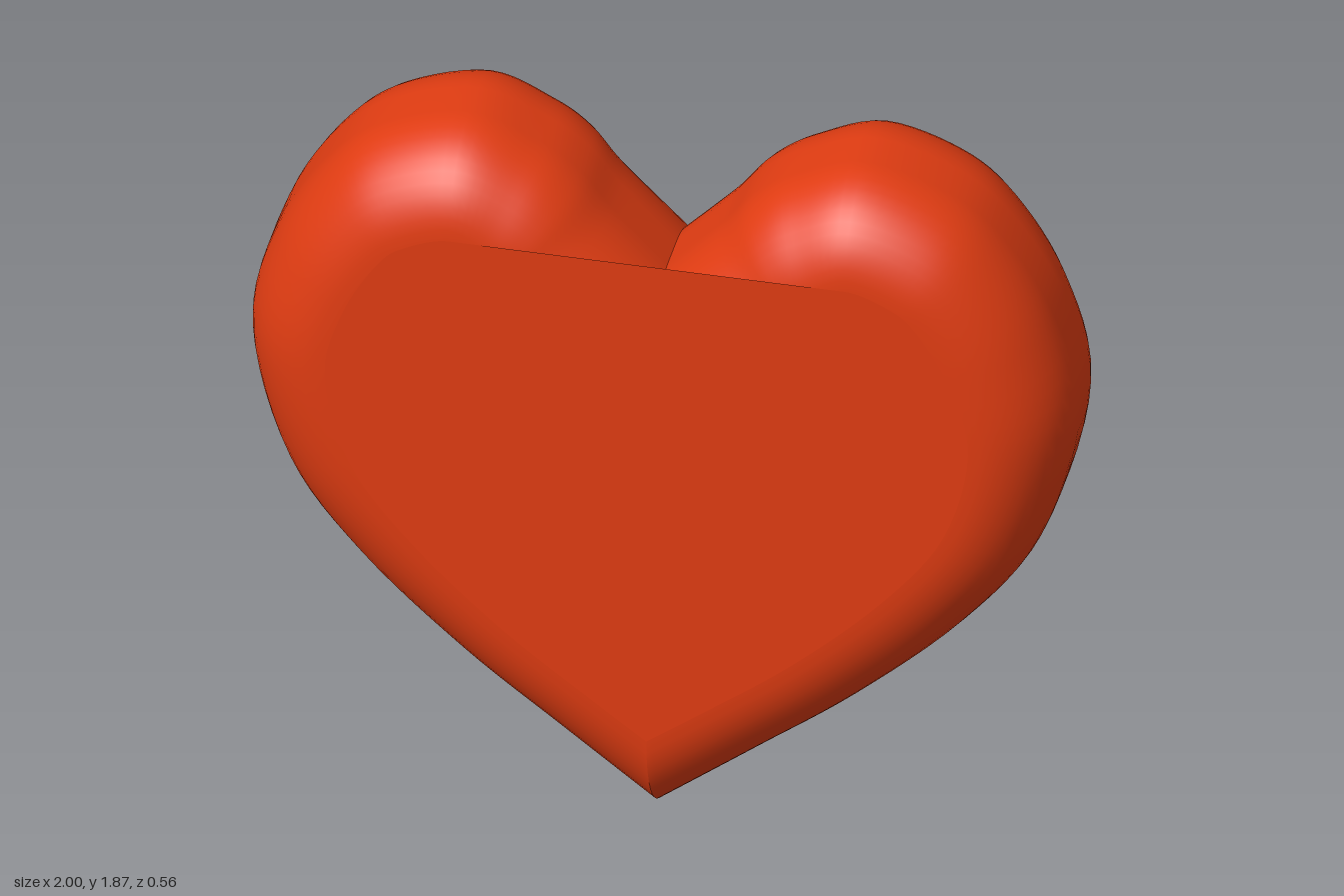
import * as THREE from 'three';

const HALF = 0.28;  // half thickness
const FLAT = 0.05;  // half width of the straight rim band
const N = 78, BEVEL = 12;

// Half outlines from the bottom tip round the lobe to the cleft:
// the widest contour and the edge of the flat faces.
const rim = [[0, 0], [0.25, 0.195], [0.49, 0.385], [0.74, 0.625], [0.915, 0.877], [1, 1.22], [0.94, 1.49],
  [0.82, 1.695], [0.685, 1.81], [0.48, 1.87], [0.31, 1.81], [0.21, 1.74], [0.13, 1.64], [0, 1.5]];
const face = [[0, 0.28], [0.12, 0.37], [0.35, 0.55], [0.57, 0.765], [0.72, 0.975], [0.78, 1.22], [0.735, 1.41],
  [0.65, 1.56], [0.585, 1.615], [0.48, 1.65], [0.405, 1.61], [0.36, 1.58], [0.3, 1.51], [0, 1.24]];

function smooth(pts) {
  const curve = new THREE.SplineCurve(pts.map(([x, y]) => new THREE.Vector2(x, y)));
  return curve.getPoints(N).map(p => new THREE.Vector2(Math.max(0, p.x), p.y));
}

// Rounded edge of one half; s is +1 or -1 for the side
function edgeHalf(outer, inner, s) {
  const rows = [];
  for (let j = 0; j <= BEVEL; j++) {
    const a = (j / BEVEL) * Math.PI / 2;
    rows.push([Math.sin(a), FLAT + (HALF - FLAT) * Math.cos(a)]);
  }
  for (let j = BEVEL; j >= 0; j--) rows.push([rows[j][0], -rows[j][1]]);
  const pos = [], index = [], w = N + 1;
  for (const [k, z] of rows) {
    for (let i = 0; i <= N; i++) {
      const p = inner[i].clone().lerp(outer[i], k);
      pos.push(s * p.x, p.y, z);
    }
  }
  for (let j = 0; j < rows.length - 1; j++) {
    for (let i = 0; i < N; i++) {
      const a = j * w + i, b = a + w, c = a + 1, d = b + 1;
      if (s > 0) index.push(a, b, c, c, b, d);
      else index.push(a, c, b, c, d, b);
    }
  }
  const geo = new THREE.BufferGeometry();
  geo.setAttribute('position', new THREE.Float32BufferAttribute(pos, 3));
  geo.setIndex(index);
  geo.computeVertexNormals();
  return geo;
}

// Flat face from a half outline and its mirror image
function flatFace(half) {
  const mirrored = half.filter(p => p.x > 1e-4).reverse().map(p => new THREE.Vector2(-p.x, p.y));
  return new THREE.ShapeGeometry(new THREE.Shape([...half, ...mirrored]));
}

export function createModel() {
  const group = new THREE.Group();
  group.name = 'heart';
  const mat = new THREE.MeshStandardMaterial({ color: 0xe03c12, side: THREE.DoubleSide });
  const add = (name, geo) => {
    const mesh = new THREE.Mesh(geo, mat);
    mesh.name = name;
    group.add(mesh);
    return mesh;
  };
  const outer = smooth(rim), inner = smooth(face);

  add('leftRoundedEdge', edgeHalf(outer, inner, 1));
  add('rightRoundedEdge', edgeHalf(outer, inner, -1));

  // The front runs straight across between the lobe tops, covering the cleft
  const peak = inner.reduce((best, p, i) => (p.y > inner[best].y ? i : best), 0);
  add('frontFace', flatFace(inner.slice(0, peak + 1))).position.z = HALF;

  // The back follows the cleft
  const back = add('backFace', flatFace(inner));
  back.rotation.y = Math.PI;
  back.position.z = -HALF;
  return group;
}
